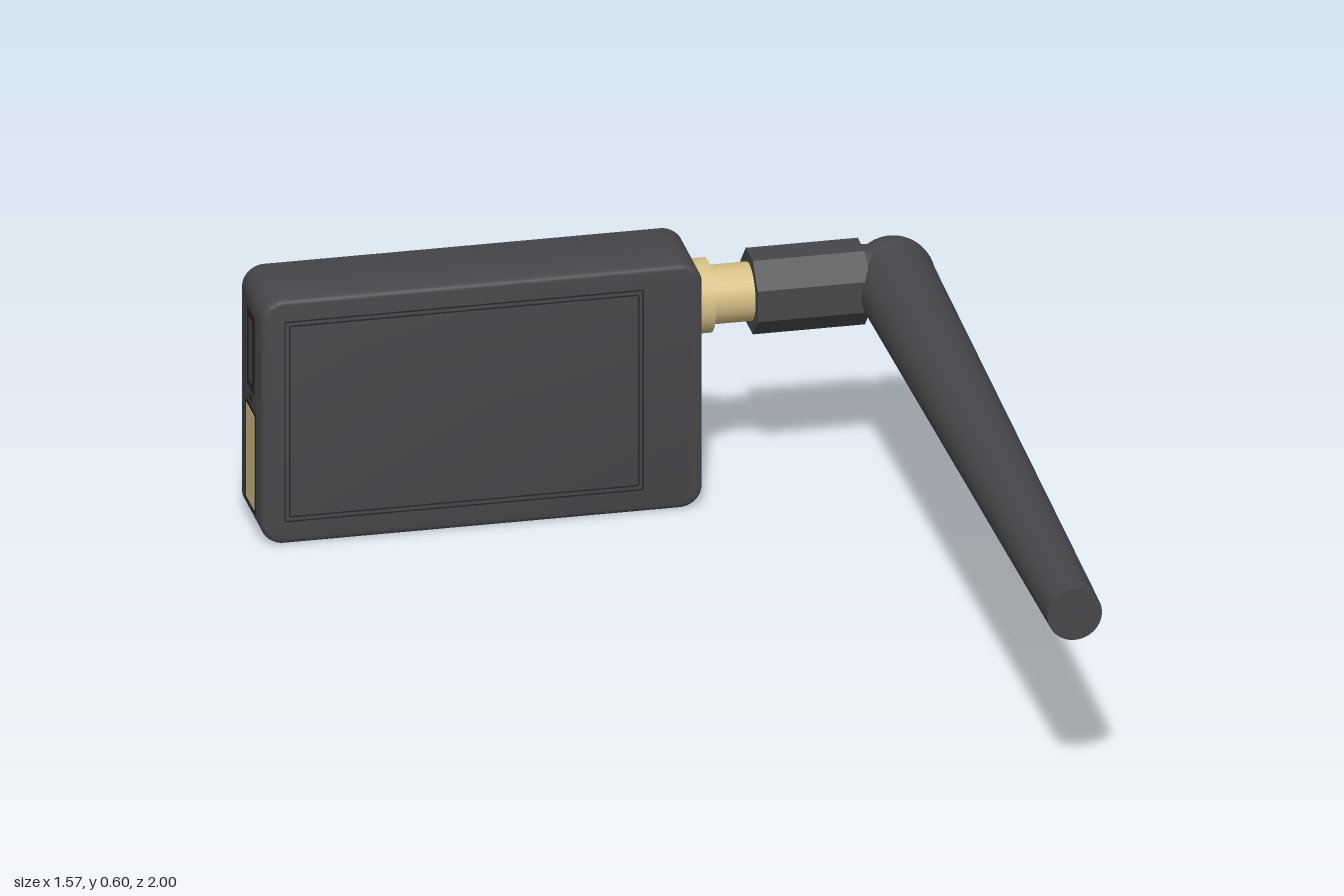
import * as THREE from 'three';
import { toCreasedNormals } from 'three/addons/utils/BufferGeometryUtils.js';

const mat = (name, color) => {
  const m = new THREE.MeshStandardMaterial({ color });
  m.name = name;
  return m;
};

// Rounded rectangle outline, or a hole when used as a Path
function roundedRect(Type, x0, y0, x1, y1, r) {
  const s = new Type();
  s.moveTo(x0 + r, y0);
  s.lineTo(x1 - r, y0);
  s.absarc(x1 - r, y0 + r, r, -Math.PI / 2, 0);
  s.lineTo(x1, y1 - r);
  s.absarc(x1 - r, y1 - r, r, 0, Math.PI / 2);
  s.lineTo(x0 + r, y1);
  s.absarc(x0 + r, y1 - r, r, Math.PI / 2, Math.PI);
  s.lineTo(x0, y0 + r);
  s.absarc(x0 + r, y0 + r, r, Math.PI, Math.PI * 1.5);
  return s;
}

export function createModel() {
  const root = new THREE.Group();
  root.name = 'wirelessAdapter';
  const casing = mat('charcoal plastic', 0x47464a);
  const shade = mat('dark recess', 0x262628);
  const gold = mat('pale gold metal', 0xd4be84);
  const axisY = 0.47, axisZ = -0.89;

  const add = (name, geometry, material, x = 0, y = 0, z = 0) => {
    const mesh = new THREE.Mesh(geometry, material);
    mesh.name = name;
    mesh.position.set(x, y, z);
    root.add(mesh);
    return mesh;
  };

  // Casing with rounded corners and a fine edge bevel
  const b = 0.012;
  const body = new THREE.ExtrudeGeometry(
    roundedRect(THREE.Shape, -0.787 + b, b, 0.225 - b, 0.598 - b, 0.04),
    { depth: 0.217 - 2 * b, bevelSize: b, bevelThickness: b, bevelSegments: 3, curveSegments: 8 });
  add('casing', toCreasedNormals(body, 0.6), casing, 0, 0, -1 + b);

  // Fine double seam around the front panel
  const seam = (name, x0, y0, x1, y1) => {
    const w = 0.003;
    const s = roundedRect(THREE.Shape, x0, y0, x1, y1, 0.004);
    s.holes.push(roundedRect(THREE.Path, x0 + w, y0 + w, x1 - w, y1 - w, 0.002));
    add(name, new THREE.ExtrudeGeometry(s, { depth: 0.002, bevelEnabled: false, curveSegments: 3 }),
      shade, 0, 0, -0.784);
  };
  seam('panelOuterSeam', -0.735, 0.054, 0.09, 0.546);
  seam('panelInnerSeam', -0.724, 0.065, 0.079, 0.535);

  // Ports on the narrow right end
  const port = (name, y0, y1, width, material, lift) =>
    add(name, new THREE.BoxGeometry(0.004, y1 - y0, width), material,
      -0.787 - lift, (y0 + y1) / 2, axisZ);
  port('usbPortRim', 0.05, 0.3, 0.1, shade, 0);
  port('usbPort', 0.06, 0.29, 0.08, gold, 0.001);
  port('cardSlot', 0.34, 0.53, 0.075, shade, 0);
  port('cardSlotTongue', 0.36, 0.51, 0.03, casing, 0.001);
  port('statusLight', 0.312, 0.325, 0.02, shade, 0);

  // Threaded socket and swivel collar along the x axis
  const along = (name, x0, x1, radius, sides, material, turn = 0) => {
    const g = new THREE.CylinderGeometry(radius, radius, x1 - x0, sides);
    g.rotateY(turn);
    g.rotateZ(-Math.PI / 2);
    return add(name, sides < 12 ? toCreasedNormals(g, 0.2) : g, material,
      (x0 + x1) / 2, axisY, axisZ);
  };
  along('connectorFlange', 0.21, 0.26, 0.085, 32, gold);
  along('connectorBarrel', 0.25, 0.37, 0.067, 32, gold);
  along('swivelCollar', 0.355, 0.612, 0.09 / Math.cos(Math.PI / 8), 8, casing, Math.PI / 8);
  along('hingePin', 0.6, 0.66, 0.082, 32, casing);

  // Ball hinge and tapering antenna pointing forward
  add('hingeBall', new THREE.SphereGeometry(0.096, 32, 20), casing, 0.685, axisY, axisZ);
  const rod = new THREE.CylinderGeometry(0.0625, 0.0935, 1.86, 32);
  rod.rotateX(Math.PI / 2);
  add('antenna', rod, casing, 0.685, axisY, 0.07);

  return root;
}
